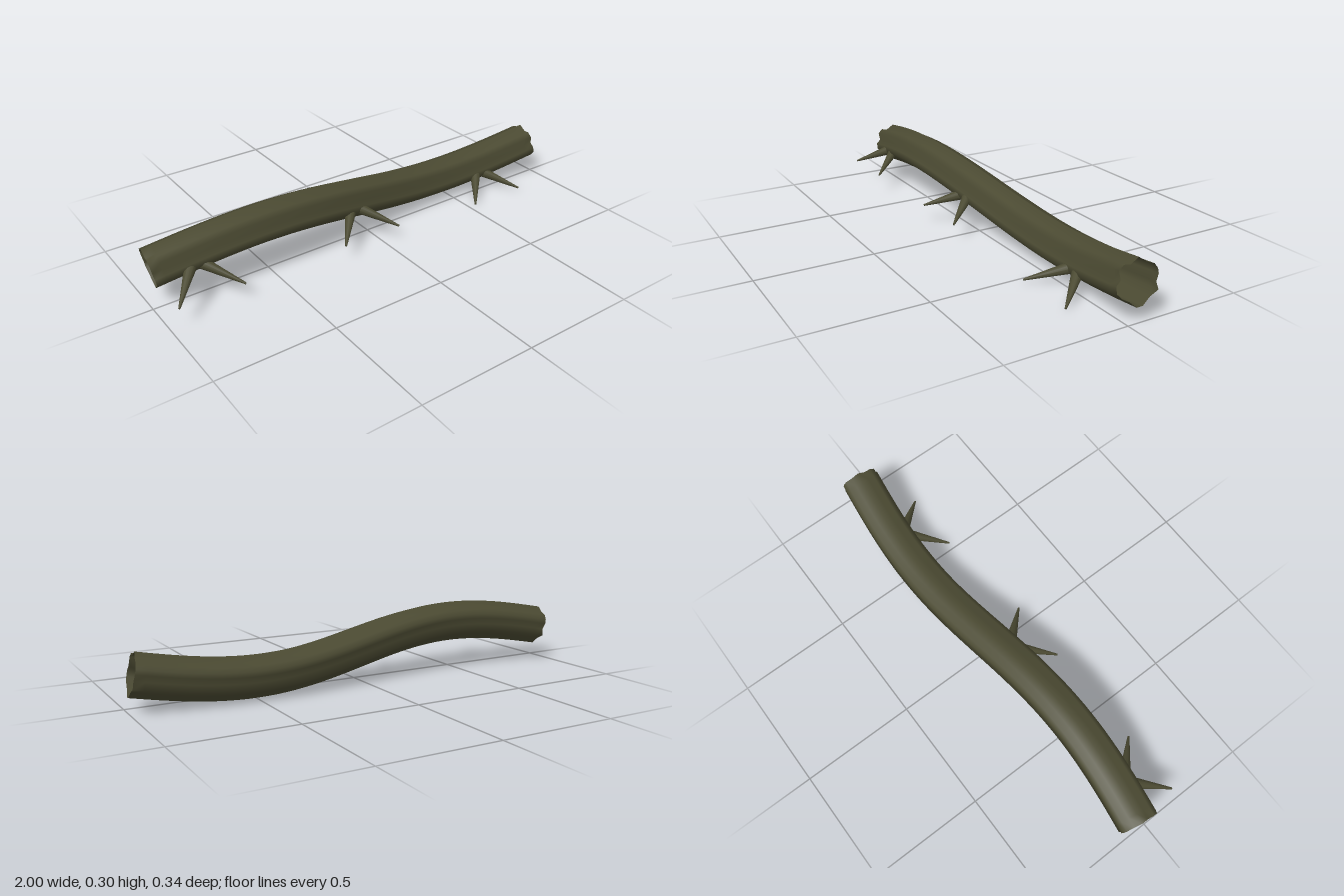
import * as THREE from 'three';

const bark = new THREE.MeshStandardMaterial({ color: 0x4b4a32, side: THREE.DoubleSide });
bark.name = 'dark olive';

// Lobed outline of the stem: [angle in degrees, radius], seen from +x
const OUTLINE = [
  [12, 0.084], [25, 0.088], [40, 0.087], [61, 0.076], [87, 0.089], [113, 0.073],
  [128, 0.09], [145, 0.092], [166, 0.073], [180, 0.089], [197, 0.092], [215, 0.084],
  [237, 0.075], [262, 0.089], [278, 0.087], [307, 0.072], [333, 0.088], [352, 0.071],
];

// S-shaped centre line of the stem
const centre = (x) => new THREE.Vector3(
  x, 0.152 - 0.06 * Math.sin(Math.PI * x), -0.05 - 0.039 * Math.sin(Math.PI * x));

// Hollow stem, open at both ends
function stemGeometry(rings = 48) {
  const positions = [], index = [], n = OUTLINE.length;
  for (let i = 0; i <= rings; i++) {
    const x = -0.98 + (1.96 * i) / rings;
    const c = centre(x);
    const tangent = centre(x + 0.001).sub(centre(x - 0.001)).normalize();
    const side = new THREE.Vector3().crossVectors(tangent, new THREE.Vector3(0, 1, 0)).normalize();
    const up = new THREE.Vector3().crossVectors(side, tangent);
    for (const [deg, r] of OUTLINE) {
      const a = THREE.MathUtils.degToRad(deg);
      // side points towards +z, the outline starts at -z
      const p = c.clone().addScaledVector(side, -r * Math.cos(a) * Math.sign(side.z))
        .addScaledVector(up, r * Math.sin(a));
      positions.push(p.x, p.y, p.z);
    }
  }
  for (let i = 0; i < rings; i++) {
    for (let j = 0; j < n; j++) {
      const a = i * n + j, b = i * n + (j + 1) % n;
      index.push(a, b, a + n, b, b + n, a + n);
    }
  }
  const g = new THREE.BufferGeometry();
  g.setAttribute('position', new THREE.Float32BufferAttribute(positions, 3));
  g.setIndex(index);
  g.computeVertexNormals();
  return g;
}

// Tapered thorn running from a point inside the stem to its tip
function thorn(base, tip) {
  const dir = tip.clone().sub(base);
  const mesh = new THREE.Mesh(new THREE.CylinderGeometry(0.004, 0.034, dir.length(), 12), bark);
  mesh.position.copy(base).addScaledVector(dir, 0.5);
  mesh.quaternion.setFromUnitVectors(new THREE.Vector3(0, 1, 0), dir.normalize());
  return mesh;
}

export function createModel() {
  const model = new THREE.Group();
  model.name = 'thornyVine';

  const stem = new THREE.Mesh(stemGeometry(), bark);
  stem.name = 'stem';
  model.add(stem);

  // Three splayed pairs of thorns: middle x, tip y, tip z
  [[-0.823, 0.09, 0.167], [-0.083, 0.082, 0.158], [0.666, 0.014, 0.119]].forEach(([x, y, z], i) => {
    const pair = new THREE.Group();
    pair.name = 'thornPair' + (i + 1);
    for (const s of [-1, 1]) {
      const base = centre(x);
      base.x -= s * 0.035;
      base.y += 0.01;
      const t = thorn(base, new THREE.Vector3(x + s * 0.137, y, z));
      t.name = s < 0 ? 'rightThorn' : 'leftThorn';
      pair.add(t);
    }
    model.add(pair);
  });
  return model;
}
